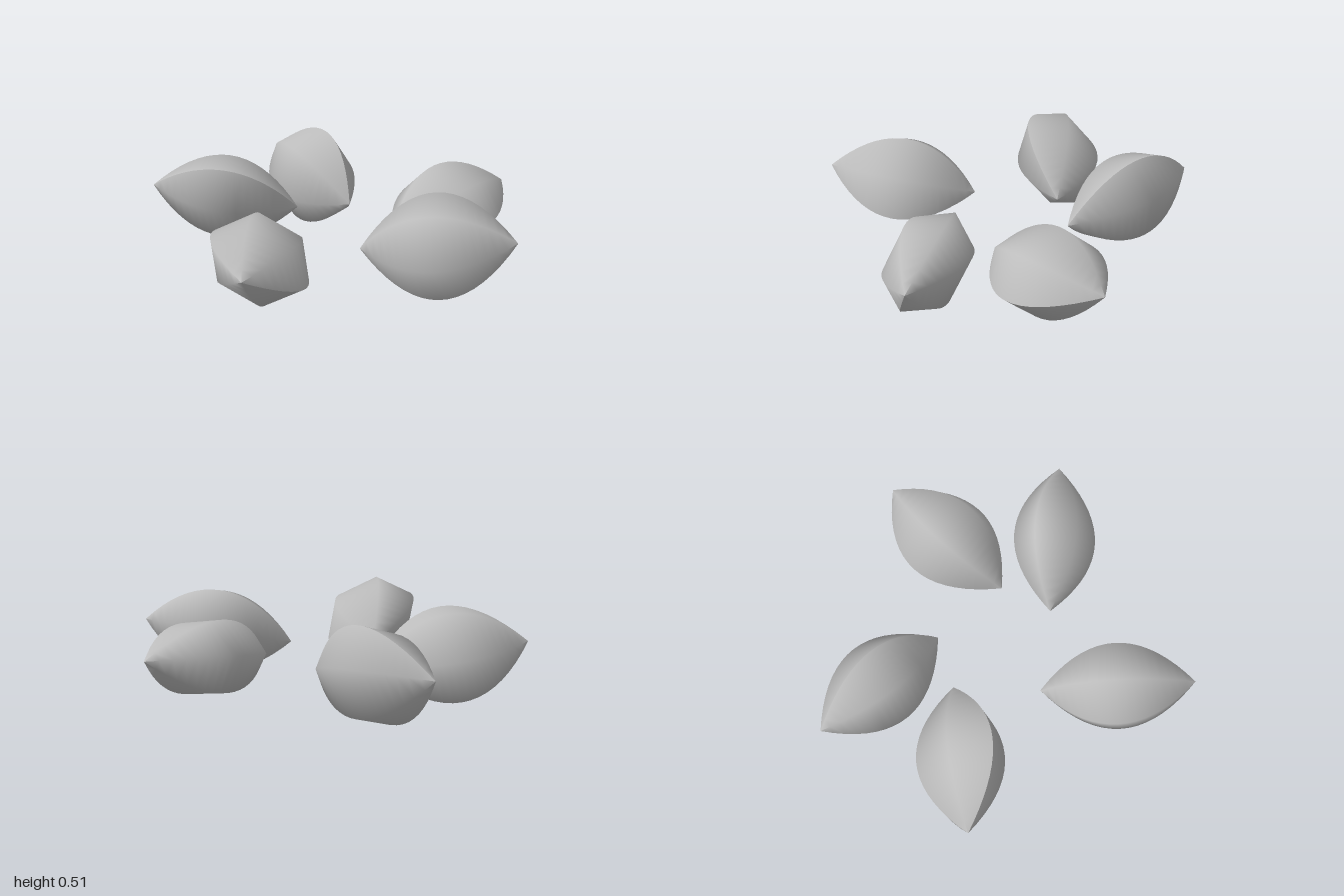
import * as THREE from 'three';

const LENGTH = 0.8, HALF_WIDTH = 0.268, HALF_THICK = 0.208;

// Pointed seed along y: flattened six-sided cross-section, smooth except for one seam
function seedGeometry(rows = 18, cols = 6) {
  const positions = [], index = [];
  for (let i = 0; i <= rows; i++) {
    const s = i / rows;
    const r = 4 * s * (1 - s);
    for (let j = 0; j <= cols; j++) {
      const a = (j / cols) * Math.PI * 2;
      positions.push(HALF_WIDTH * r * Math.cos(a), (s - 0.5) * LENGTH, HALF_THICK * r * Math.sin(a));
    }
  }
  const row = cols + 1;
  for (let i = 0; i < rows; i++) {
    for (let j = 0; j < cols; j++) {
      const p = i * row + j;
      if (i > 0) index.push(p, p + row, p + 1);
      if (i < rows - 1) index.push(p + 1, p + row, p + row + 1);
    }
  }
  const geometry = new THREE.BufferGeometry();
  geometry.setAttribute('position', new THREE.Float32BufferAttribute(positions, 3));
  geometry.setIndex(index);
  geometry.computeVertexNormals();
  return geometry;
}

export function createModel() {
  const group = new THREE.Group();
  group.name = 'seedRing';
  const grey = new THREE.MeshStandardMaterial({ color: 0xbcbcbc });
  grey.name = 'seedGrey';
  const geometry = seedGeometry();

  // Inner tip (x, z), outer tip (x, z), roll of the seam in degrees
  const seeds = [
    ['backRightSeed', [-0.13, -0.36], [-0.88, -0.63], 72],
    ['backLeftSeed', [0.27, -0.19], [0.475, -0.955], -12],
    ['leftSeed', [0.27, 0.1], [1.0, -0.21], -66],
    ['frontSeed', [-0.15, 0.25], [0.22, 0.95], 207],
    ['rightSeed', [-0.34, -0.16], [-1.0, 0.275], 129],
  ];
  for (const [name, inner, outer, roll] of seeds) {
    const a = new THREE.Vector3(inner[0], 0.2, inner[1]);
    const b = new THREE.Vector3(outer[0], 0.31, outer[1]);
    const axis = b.clone().sub(a).normalize();
    const side = new THREE.Vector3(-axis.z, 0, axis.x).normalize();
    const up = side.clone().cross(axis);
    const seed = new THREE.Mesh(geometry, grey);
    seed.name = name;
    seed.position.copy(a).add(b).multiplyScalar(0.5);
    seed.quaternion.setFromRotationMatrix(new THREE.Matrix4().makeBasis(side, axis, up));
    seed.rotateY(-THREE.MathUtils.degToRad(roll));
    group.add(seed);
  }
  return group;
}
